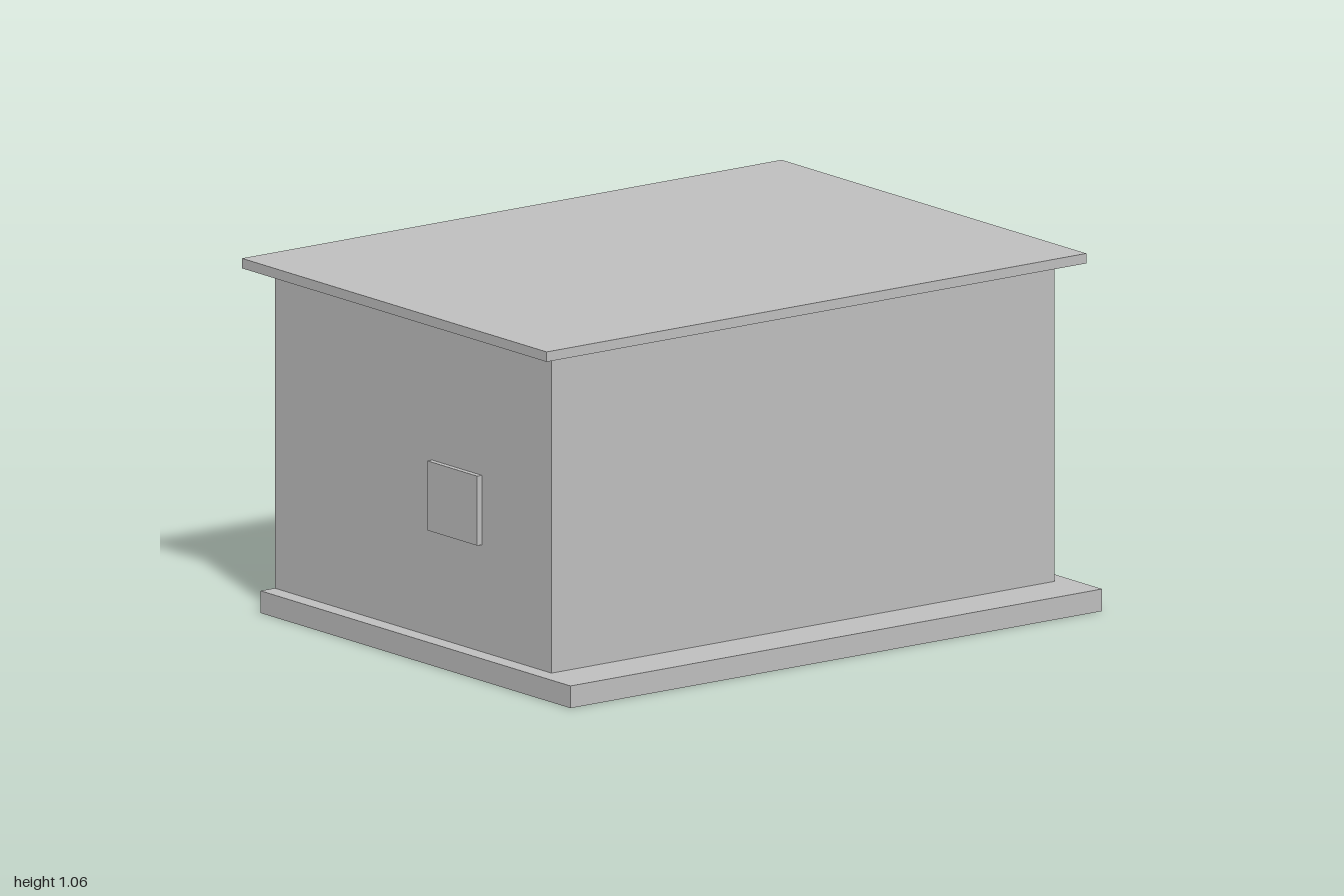
import * as THREE from 'three';

export function createModel() {
  const house = new THREE.Group();
  house.name = 'house';

  const grey = new THREE.MeshStandardMaterial({ color: 0xbfbfbf });
  grey.name = 'light grey';

  // Box given by its extents along each axis
  function block(name, [x0, x1], [y0, y1], [z0, z1]) {
    const mesh = new THREE.Mesh(new THREE.BoxGeometry(x1 - x0, y1 - y0, z1 - z0), grey);
    mesh.name = name;
    mesh.position.set((x0 + x1) / 2, (y0 + y1) / 2, (z0 + z1) / 2);
    house.add(mesh);
  }

  const floorTop = 0.067, wallTop = 1.03, openingTop = 0.6, sill = 0.39;
  const wallX = 0.932, wallBack = -0.71, trim = 0.017;

  // Main masses: the slab projects at the front, the roof overhangs all round
  block('foundation', [-0.985, 0.985], [0, floorTop], [wallBack, 0.78]);
  block('walls', [-wallX, wallX], [floorTop, wallTop], [wallBack, 0.62]);
  block('roof', [-1, 1], [wallTop, 1.06], [-0.78, 0.685]);

  // Raised door and window panels
  block('door', [wallX, wallX + trim], [floorTop, openingTop], [-0.135, 0.105]);
  block('sideWindow', [-wallX - trim, -wallX], [sill, openingTop], [0.045, 0.285]);
  block('backWindow', [-0.43, -0.19], [sill, openingTop], [wallBack - trim, wallBack]);

  return house;
}
